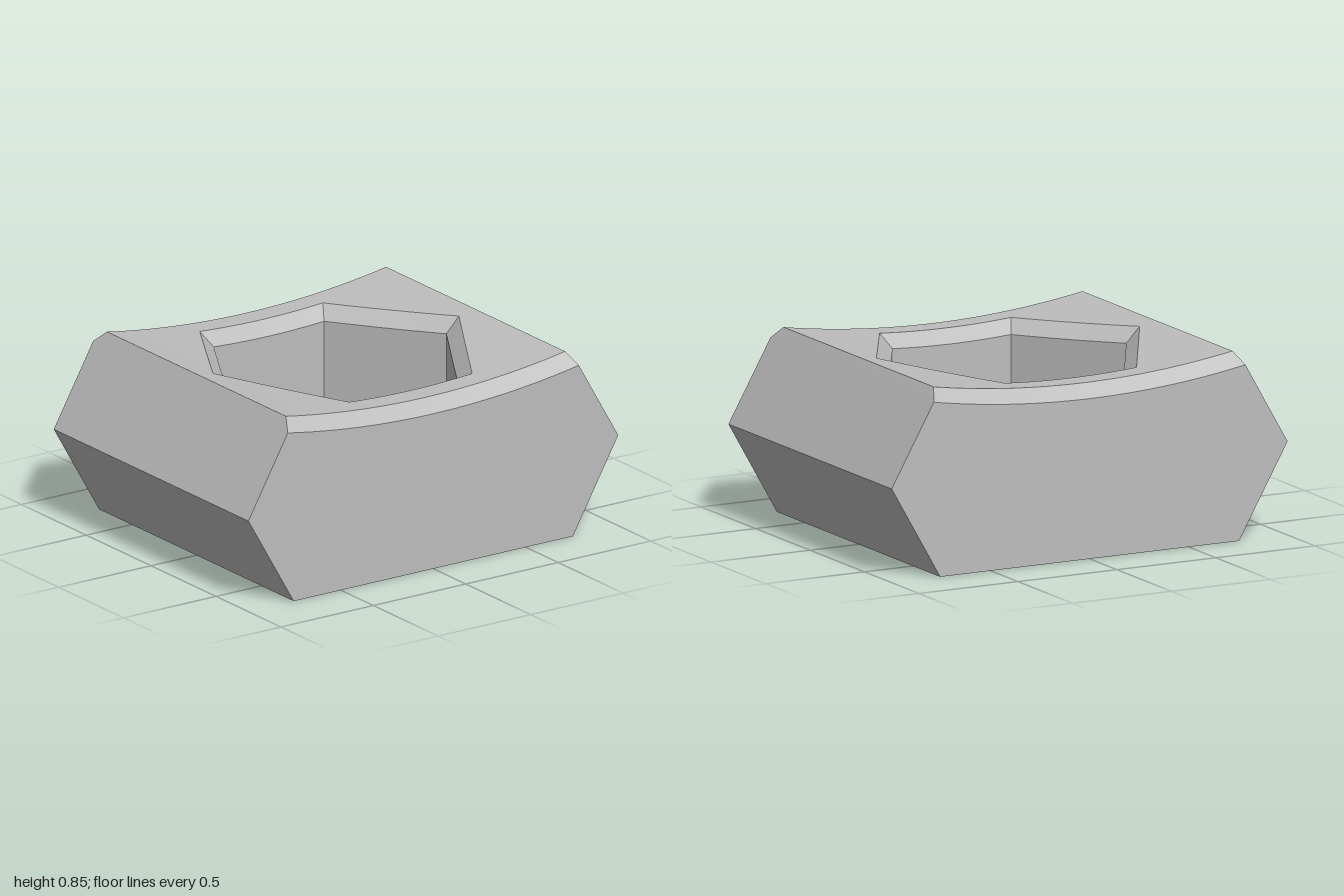
import * as THREE from 'three';
import { mergeGeometries } from 'three/addons/utils/BufferGeometryUtils.js';

const STEPS = 16;          // subdivisions per hexagon side
const RING = STEPS * 6;    // segments around the bore
const EDGE = 0.06;         // chamfer size
const HX = 0.755, HZ = 0.75, MID = 0.425;

// Height of the concave top at x
const RADIUS = 4.55;
const topY = (x) => 0.787 + RADIUS - Math.sqrt(RADIUS * RADIUS - x * x);

// Strip of quads between two point rows: row a runs right, row b lies above it
function ribbon(a, b) {
  const n = a.length, index = [];
  for (let i = 0; i < n - 1; i++) index.push(i, i + 1, n + i + 1, i, n + i + 1, n + i);
  const g = new THREE.BufferGeometry();
  g.setAttribute('position', new THREE.Float32BufferAttribute([...a, ...b].flat(), 3));
  g.setIndex(index);
  g.computeVertexNormals();
  return g;
}

// Row of points from f(angle), once around
const around = (f) => Array.from({ length: RING + 1 }, (_, i) => f((i / RING) * Math.PI * 2));
const circle = (r, y) => around((t) => [r * Math.cos(t), y, r * Math.sin(t)]);

// Points along one side of a hexagon; y is a function of x
function hexSide(r, side, y) {
  const t0 = (side * Math.PI) / 3, t1 = t0 + Math.PI / 3;
  return Array.from({ length: STEPS + 1 }, (_, i) => {
    const k = i / STEPS;
    const x = r * THREE.MathUtils.lerp(Math.cos(t0), Math.cos(t1), k);
    const z = r * THREE.MathUtils.lerp(Math.sin(t0), Math.sin(t1), k);
    return [x, y(x), z];
  });
}

export function createModel() {
  const group = new THREE.Group();
  const steel = new THREE.MeshStandardMaterial({ color: 0xbdbdbd, side: THREE.DoubleSide });
  steel.name = 'plain grey';

  const add = (name, parts, turn = 0) => {
    const mesh = new THREE.Mesh(mergeGeometries(parts), steel);
    mesh.name = name;
    mesh.rotation.y = turn;
    group.add(mesh);
  };

  const RIM = 0.665, POCKET = 0.597, FLOOR = 0.35, LOWX = 0.787;

  // x stations that include every corner of the pocket rim
  const stops = [-HX, -RIM, -RIM / 2, RIM / 2, RIM, HX];
  const xs = [-HX];
  for (let s = 0; s < stops.length - 1; s++)
    for (let i = 1; i <= STEPS; i++) xs.push(THREE.MathUtils.lerp(stops[s], stops[s + 1], i / STEPS));
  const rimZ = (x) => Math.min(RIM * Math.sqrt(0.75), Math.max(0, (RIM - Math.abs(x)) * Math.sqrt(3)));

  // Outer shell: half of it, used again turned half a circle
  const upperEdge = xs.map((x) => [x, topY(x), HZ - EDGE]);
  const lowerEdge = xs.map((x) => {
    const wide = (x * LOWX) / HX;
    return [wide, topY(wide) - EDGE, HZ];
  });
  const base = xs.map((x) => [x, 0, HZ]);
  const sideRow = (s) => [
    [1, MID, s * HZ],
    [LOWX, topY(LOWX) - EDGE, s * HZ],
    [HX, topY(HX), s * (HZ - EDGE)],
  ];
  const lowRow = (s) => [[HX, 0, s * HZ], [1, MID, s * HZ]];

  [['front', 'left', 0], ['back', 'right', Math.PI]].forEach(([face, flank, turn]) => {
    add(face + 'Top', [ribbon(upperEdge, xs.map((x) => [x, topY(x), rimZ(x)]))], turn);
    add(face + 'Chamfer', [ribbon(lowerEdge, upperEdge)], turn);
    add(face + 'Face', [ribbon(
      [[-1, MID, HZ], ...base, [1, MID, HZ]],
      [lowerEdge[0], ...lowerEdge, lowerEdge[lowerEdge.length - 1]],
    )], turn);
    add(flank + 'Flank', [ribbon(sideRow(-1), sideRow(1)), ribbon(lowRow(-1), lowRow(1))], turn);
  });

  // Hexagonal pocket with chamfered rim
  const rim = [], walls = [];
  for (let side = 0; side < 6; side++) {
    const lip = hexSide(POCKET, side, (x) => topY(x) - EDGE);
    rim.push(ribbon(lip, hexSide(RIM, side, topY)));
    walls.push(ribbon(hexSide(POCKET, side, () => FLOOR), lip));
  }
  add('pocketRim', rim);
  add('pocketWalls', walls);

  // Pocket floor, from the counterbore out to the hexagon
  const hexRow = [];
  for (let side = 0; side < 6; side++) hexRow.push(...hexSide(POCKET, side, () => FLOOR).slice(side ? 1 : 0));
  add('pocketFloor', [ribbon(circle(0.505, FLOOR), hexRow)]);

  // Stepped bore: radius and height from the bottom up
  const bore = [[0.38, 0], [0.38, 0.09], [0.44, 0.15], [0.505, 0.15], [0.505, FLOOR]];
  add('bore', bore.slice(1).map(([r, y], i) => ribbon(circle(...bore[i]), circle(r, y))));

  // Underside around the hole
  const square = around((t) => {
    const c = Math.cos(t), s = Math.sin(t), k = 1 / Math.max(Math.abs(c), Math.abs(s));
    return [HX * k * c, 0, HZ * k * s];
  });
  add('underside', [ribbon(square, circle(0.38, 0))]);

  return group;
}
